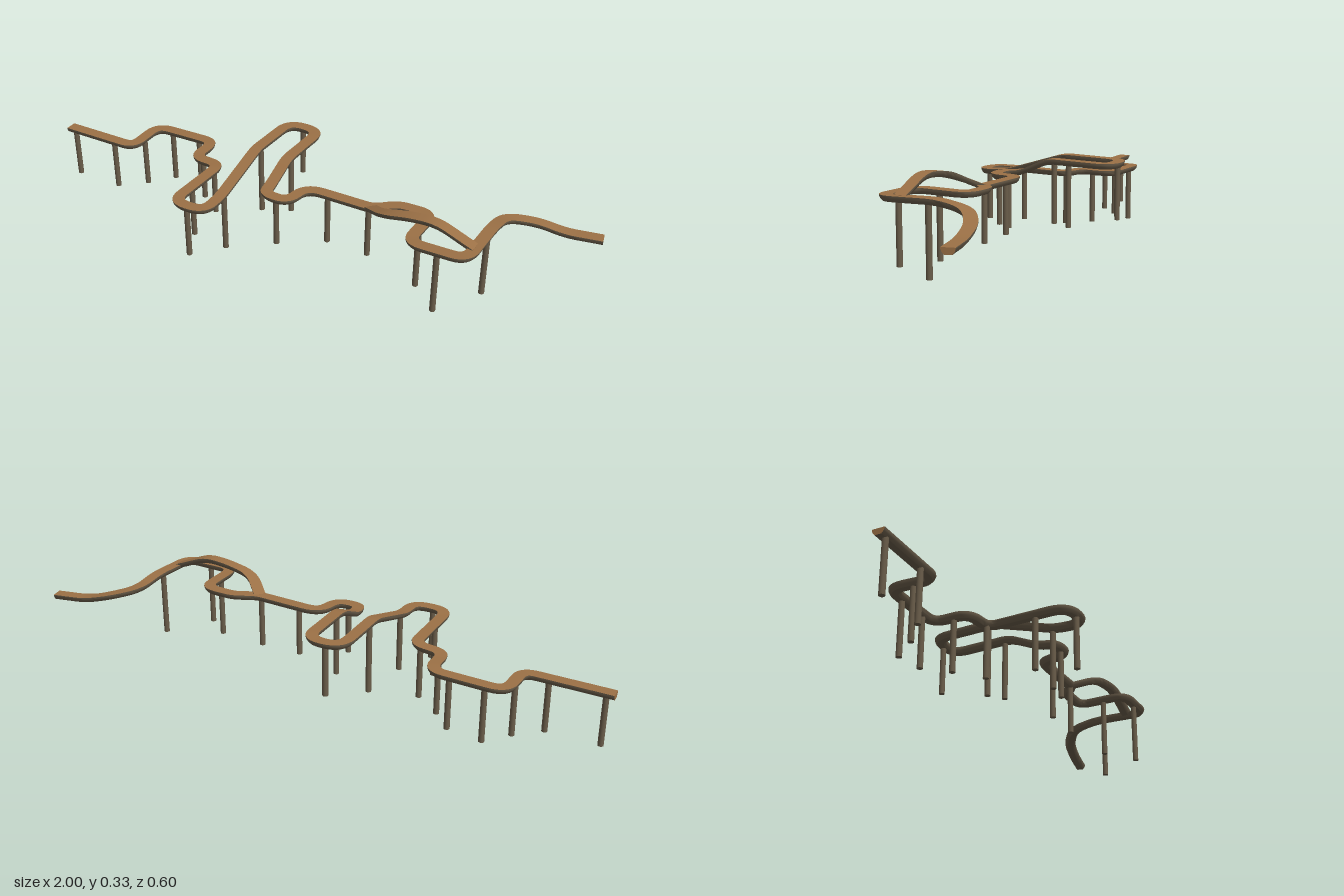
import * as THREE from 'three';
import { toCreasedNormals } from 'three/addons/utils/BufferGeometryUtils.js';

const deckMat = new THREE.MeshStandardMaterial({ name: 'warmBrown', color: 0x9c7146, side: THREE.DoubleSide });
const darkMat = new THREE.MeshStandardMaterial({ name: 'darkGreyBrown', color: 0x6a5d4a, side: THREE.DoubleSide });

// Cross-sections as [sideways, up]: flat running surface and rounded underside
const DECK = [[-0.021, 0], [0.021, 0]];
const SHELL = [[0.021, 0], [0.021, -0.004], [0.018, -0.012], [0.011, -0.020],
  [-0.011, -0.020], [-0.018, -0.012], [-0.021, -0.004], [-0.021, 0]];

// Waypoints: x, y, z, corner radius
const MAIN = [
  [-1, 0.197, 0.015, 0], [-0.70, 0.201, 0.015, 0.045], [-0.70, 0.206, -0.142, 0.055],
  [-0.44, 0.214, -0.142, 0.055], [-0.44, 0.217, -0.015, 0.045], [-0.325, 0.222, -0.005, 0.045],
  [-0.325, 0.229, 0.28, 0.06], [-0.197, 0.232, 0.28, 0.06], [-0.197, 0.235, 0.18, 0.03],
  [-0.197, 0.305, -0.05, 0.03], [-0.197, 0.298, -0.28, 0.06], [-0.07, 0.298, -0.28, 0.06],
  [-0.07, 0.305, -0.05, 0.03], [-0.07, 0.256, 0.06, 0.03], [-0.06, 0.255, 0.116, 0.04],
  [0.03, 0.255, 0.116, 0.045], [0.045, 0.255, 0.01, 0.06], [0.30, 0.262, 0.015, 0.03],
  [0.37, 0.268, -0.035, 0.03], [0.49, 0.272, -0.035, 0.05], [0.49, 0.276, 0.150, 0.05],
  [0.69, 0.282, 0.150, 0.05], [0.695, 0.286, -0.05, 0.04], [0.70, 0.268, -0.15, 0.05],
  [0.79, 0.245, -0.212, 0.05], [0.88, 0.223, -0.23, 0.04], [1, 0.223, -0.255, 0],
];
const HUMP = [
  [0.29, 0.262, 0.015, 0], [0.365, 0.305, 0.083, 0.05], [0.47, 0.329, 0.083, 0.05],
  [0.56, 0.335, 0.083, 0.04], [0.69, 0.284, 0.083, 0],
];

// Replace each corner of a polyline by a quadratic bend
function roundedPath(way) {
  const p = way.map((w) => new THREE.Vector3(w[0], w[1], w[2]));
  const out = [p[0]];
  for (let i = 1; i < p.length - 1; i++) {
    const toward = (q) => {
      const d = q.clone().sub(p[i]);
      return d.clone().setLength(Math.min(way[i][3], d.length() * 0.49)).add(p[i]);
    };
    out.push(...new THREE.QuadraticBezierCurve3(toward(p[i - 1]), p[i], toward(p[i + 1])).getPoints(7));
  }
  out.push(p[p.length - 1]);
  return out;
}

// Place a profile at every path point, keeping it upright
function rings(path, profile) {
  return path.map((p, i) => {
    const t = path[Math.min(i + 1, path.length - 1)].clone().sub(path[Math.max(i - 1, 0)]).setY(0).normalize();
    return profile.map(([u, v]) => new THREE.Vector3(p.x - t.z * u, p.y + v, p.z + t.x * u));
  });
}

function fromTriangles(points) {
  return toCreasedNormals(new THREE.BufferGeometry().setFromPoints(points), 0.6);
}

function sweep(path, profile) {
  const r = rings(path, profile), points = [];
  for (let i = 0; i < r.length - 1; i++) {
    for (let j = 0; j < profile.length - 1; j++) {
      const a = r[i][j], b = r[i][j + 1], c = r[i + 1][j + 1], d = r[i + 1][j];
      points.push(a, b, c, a, c, d);
    }
  }
  return fromTriangles(points);
}

// Close both ends of the sweep with the filled profile
function endFaces(path, profile) {
  const r = rings(path, profile), first = r[0], last = r[r.length - 1], points = [];
  for (let j = 1; j < profile.length - 1; j++) {
    points.push(first[0], first[j + 1], first[j], last[0], last[j], last[j + 1]);
  }
  return fromTriangles(points);
}

function track(name, path) {
  const g = new THREE.Group();
  g.name = name;
  const add = (part, geometry, material) => {
    const mesh = new THREE.Mesh(geometry, material);
    mesh.name = part;
    g.add(mesh);
  };
  add('runningSurface', sweep(path, DECK), deckMat);
  add('underside', sweep(path, SHELL), darkMat);
  add('endFaces', endFaces(path, SHELL), deckMat);
  return g;
}

// Support posts: x, z, foot height
const POSTS = [
  [-0.97, 0.02, 0], [-0.785, 0.02, 0], [-0.70, -0.055, 0], [-0.63, -0.14, 0],
  [-0.51, -0.14, 0.014], [-0.44, -0.065, 0.015], [-0.345, 0.003, 0.02], [-0.325, 0.167, 0.025],
  [-0.265, 0.283, 0.03], [-0.192, 0.167, 0.015], [-0.192, -0.073, 0.037], [-0.14, -0.28, 0.105],
  [-0.068, -0.073, 0.075], [-0.015, 0.115, 0.065], [0.13, 0.017, 0.065], [0.285, 0.017, 0.065],
  [0.49, 0.065, 0.045], [0.592, 0.15, 0.04], [0.692, -0.015, 0.04],
];

// Track height above a ground position
function heightAt(path, x, z) {
  const q = new THREE.Vector3(), best = { d: Infinity, y: 0 };
  for (let i = 0; i < path.length - 1; i++) {
    for (let k = 0; k <= 10; k++) {
      q.lerpVectors(path[i], path[i + 1], k / 10);
      const d = Math.hypot(q.x - x, q.z - z);
      if (d < best.d) Object.assign(best, { d, y: q.y });
    }
  }
  return best.y;
}

export function createModel() {
  const model = new THREE.Group();
  model.name = 'raisedTrack';
  const mainPath = roundedPath(MAIN);
  model.add(track('mainTrack', mainPath), track('humpBranch', roundedPath(HUMP)));

  const posts = new THREE.Group();
  posts.name = 'supportPosts';
  for (const [x, z, foot] of POSTS) {
    const top = heightAt(mainPath, x, z) - 0.016;
    const post = new THREE.Mesh(new THREE.CylinderGeometry(0.01, 0.01, top - foot, 16), darkMat);
    post.name = 'supportPost';
    post.position.set(x, (top + foot) / 2, z);
    posts.add(post);
  }
  model.add(posts);
  return model;
}
